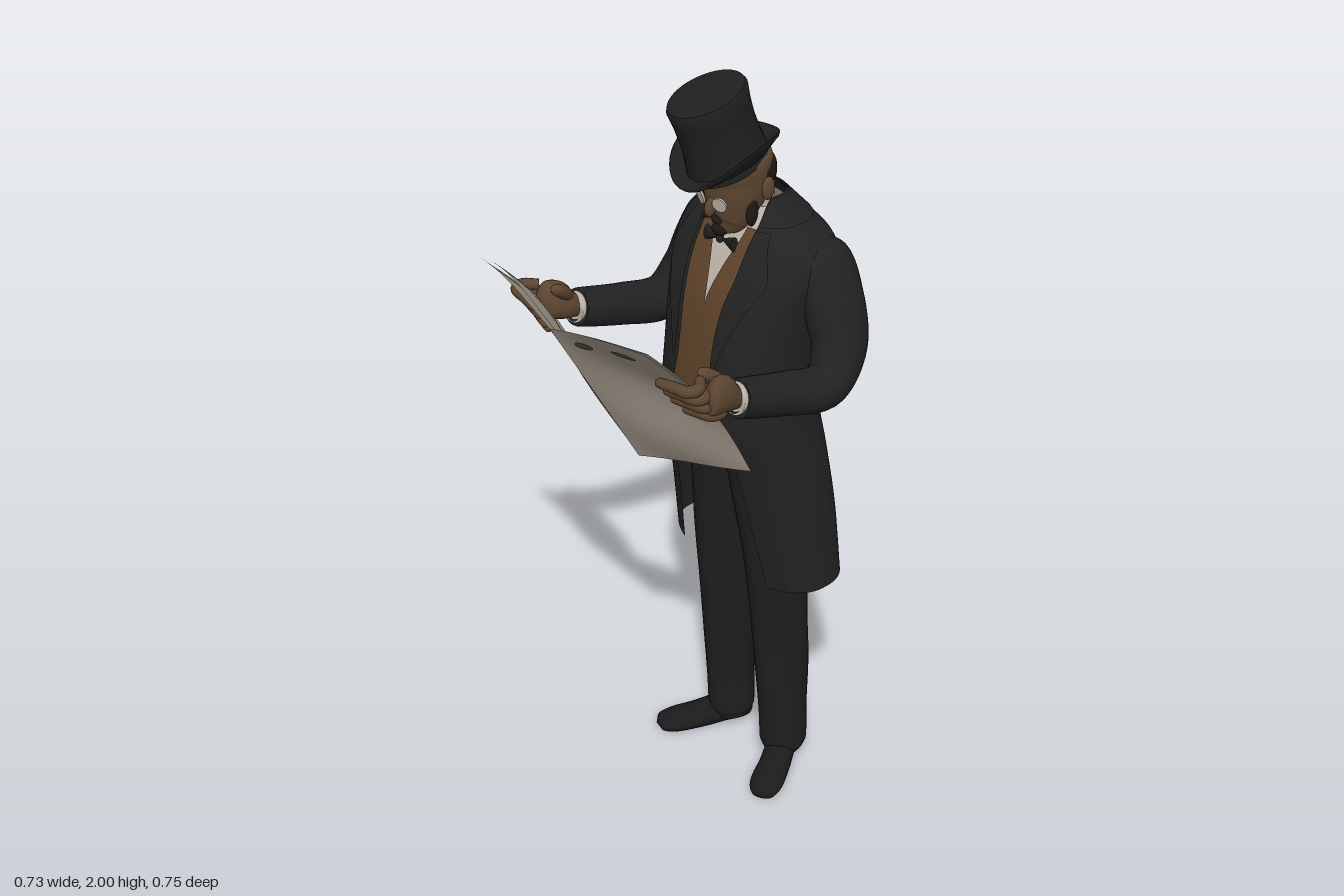
import * as THREE from 'three';
import { toCreasedNormals } from 'three/addons/utils/BufferGeometryUtils.js';
import { ParametricGeometry } from 'three/addons/geometries/ParametricGeometry.js';

const material = (name, color, side = THREE.FrontSide) => {
  const m = new THREE.MeshStandardMaterial({ color, side });
  m.name = name;
  return m;
};
const V = (x, y, z) => new THREE.Vector3(x, y, z);

// Smooth interpolation of one column in a table of rows
const column = (rows, c) => {
  const curve = new THREE.SplineCurve(rows.map((r, i) => new THREE.Vector2(i, r[c])));
  return t => curve.getPoint(t).y;
};

// Tapered limb through [x, y, z, radiusA, radiusB] points; radiusA lies along ref
function limb(points, ref = V(1, 0, 0), around = 20, along = points.length * 5) {
  const path = new THREE.CatmullRomCurve3(points.map(p => V(p[0], p[1], p[2])));
  const ra = column(points, 3), rb = column(points, 4);
  return new ParametricGeometry((u, v, out) => {
    const T = path.getTangent(v), a = u * Math.PI * 2;
    const N = ref.clone().addScaledVector(T, -ref.dot(T)).normalize();
    const B = T.clone().cross(N);
    out.copy(path.getPoint(v))
      .addScaledVector(N, Math.cos(a) * Math.max(ra(v), 0.001))
      .addScaledVector(B, Math.sin(a) * Math.max(rb(v), 0.001));
  }, around, along);
}

// Body profile: y, front z, back z, half width, coat gap, lapel width, waistcoat gap
const BODY = [
  [0.65, -0.10, -0.375, 0.253, 0.155, 0, 0],
  [0.85, -0.065, -0.365, 0.238, 0.13, 0, 0],
  [1.02, -0.03, -0.345, 0.22, 0.115, 0, 0],
  [1.15, 0.0, -0.328, 0.205, 0.09, 0, 0],
  [1.30, -0.005, -0.337, 0.198, 0.06, 0.01, 0],
  [1.45, -0.03, -0.36, 0.21, 0.065, 0.05, 0],
  [1.54, -0.065, -0.362, 0.222, 0.078, 0.075, 0.02],
  [1.61, -0.10, -0.345, 0.198, 0.08, 0.05, 0.045],
  [1.665, -0.13, -0.302, 0.125, 0.08, 0.025, 0.055],
  [1.715, -0.15, -0.258, 0.08, 0.076, 0.004, 0.05],
];
const body = BODY[0].map((_, c) => column(BODY, c));
const POWER = 0.83;
const bend = s => Math.sign(s) * Math.abs(s) ** POWER;

// Piece of the body surface between two profile rows, pushed out by off;
// from and to give the edges as angles measured from the front
function bodyPatch(row0, row1, off, from, to, nu = 56, nv = 40) {
  return new ParametricGeometry((u, v, out) => {
    const t = THREE.MathUtils.lerp(row0, row1, v) / (BODY.length - 1);
    const a = THREE.MathUtils.lerp(from(t), to(t), u);
    const zf = body[1](t), zb = body[2](t);
    out.set(0.017 + (body[3](t) + off) * bend(Math.sin(a)), body[0](t),
      (zf + zb) / 2 + ((zf - zb) / 2 + off) * bend(Math.cos(a)));
  }, nu, nv);
}
const angleAt = (x, t) => Math.asin(Math.min(Math.max(x, 0) / body[3](t), 1) ** (1 / POWER));

// Newspaper surface: u from -1 to 1 across, v from 0 (bottom) to 1 (top)
const PAGE = {
  '-1': [V(-0.34, 1.18, 0.07), V(-0.36, 1.575, 0.35)],
  0: [V(0.005, 1.10, 0.163), V(-0.055, 1.515, 0.377)],
  1: [V(0.31, 1.167, 0.08), V(0.25, 1.575, 0.36)],
};
function paperPoint(u, v, out) {
  const k = Math.abs(u), edge = PAGE[u < 0 ? -1 : 1];
  const mid = PAGE[0][0].clone().lerp(PAGE[0][1], v);
  out.copy(edge[0]).lerp(edge[1], v).lerp(mid, 1 - k);
  const wave = 0.011 * Math.sin(k * Math.PI) * (Math.sin(v * 7 + u) - 0.5);
  const grip = Math.sin(v * Math.PI) * k * k; // pulled back where it is held
  out.x -= Math.sign(u) * 0.012 * grip;
  out.y += 0.012 * Math.sin(k * Math.PI) * v - wave * 0.5;
  out.z += wave - 0.04 * grip;
  return out;
}

export function createModel() {
  const model = new THREE.Group();
  model.name = 'gentlemanReading';
  const D = THREE.DoubleSide;
  const coat = material('coatBlack', 0x222223, D);
  const trousers = material('trouserBlack', 0x1f1f20);
  const felt = material('hatBlack', 0x1f1f20, D);
  const leather = material('shoeBlack', 0x1b1b1b);
  const tweed = material('waistcoatBrown', 0x5f432a, D);
  const linen = material('shirtWhite', 0xbdb4a8, D);
  const skin = material('skinBrown', 0x5d4631);
  const hair = material('hairDark', 0x1e1813);
  const paper = material('paperGrey', 0xa3988b, D);
  const ink = material('inkGrey', 0x544d45, D);

  const add = (name, geometry, mat, parent = model) => {
    const mesh = new THREE.Mesh(geometry, mat);
    mesh.name = name;
    parent.add(mesh);
    return mesh;
  };
  const ball = (name, mat, x, y, z, sx, sy, sz) => {
    const mesh = add(name, new THREE.SphereGeometry(1, 20, 14), mat);
    mesh.position.set(x, y, z);
    mesh.scale.set(sx, sy, sz);
    return mesh;
  };

  // Frock coat, waistcoat and shirt
  const gap = t => angleAt(body[4](t), t);
  const vestGap = t => angleAt(body[6](t), t);
  const full = Math.PI * 2;
  add('coat', bodyPatch(0, 9, 0, gap, t => full - gap(t), 72, 60), coat);
  add('waistcoat', bodyPatch(2.55, 7.6, -0.01, vestGap, t => full - vestGap(t)), tweed);
  add('shirt', bodyPatch(4, 8.4, -0.02, () => 0, () => full), linen);
  const lapel = t => angleAt(body[4](t) + body[5](t), t);
  add('leftLapel', bodyPatch(4, 7.7, 0.009, gap, lapel, 6, 20), coat);
  add('rightLapel', bodyPatch(4, 7.7, 0.009, t => -lapel(t), t => -gap(t), 6, 20), coat);
  add('coatCollar', bodyPatch(7.85, 9, 0.007, gap, t => full - gap(t), 40, 8), coat);

  for (const s of [1, -1]) {
    const side = s > 0 ? 'left' : 'right';

    // Trouser leg
    const X = d => 0.02 + s * d;
    add(side + 'TrouserLeg', limb([
      [X(0.1), 0.03, -0.245, 0.05, 0.055], [X(0.102), 0.06, -0.245, 0.061, 0.066],
      [X(0.102), 0.17, -0.24, 0.06, 0.07], [X(0.1), 0.32, -0.234, 0.062, 0.08],
      [X(0.097), 0.5, -0.22, 0.068, 0.082], [X(0.092), 0.7, -0.208, 0.076, 0.092],
      [X(0.07), 0.95, -0.19, 0.085, 0.108], [X(0.06), 1.08, -0.18, 0.09, 0.115],
      [X(0.06), 1.12, -0.18, 0.01, 0.01]]), trousers);

    // Shoe, turned outwards, with a flattened sole
    const shoe = limb([
      [X(0.088), 0.03, -0.302, 0.001, 0.001], [X(0.09), 0.032, -0.292, 0.032, 0.035],
      [X(0.108), 0.04, -0.24, 0.038, 0.045], [X(0.15), 0.024, -0.165, 0.043, 0.034],
      [X(0.182), 0.018, -0.105, 0.045, 0.026], [X(0.204), 0.014, -0.07, 0.03, 0.018],
      [X(0.21), 0.012, -0.06, 0.001, 0.001]]);
    const sp = shoe.attributes.position;
    for (let i = 0; i < sp.count; i++) sp.setY(i, Math.max(sp.getY(i), 0));
    shoe.computeVertexNormals();
    add(side + 'Shoe', shoe, leather);

    // Sleeve from shoulder through bent elbow to wrist
    const A = d => 0.015 + s * d, wx = s > 0 ? 0.272 : -0.302;
    add(side + 'Sleeve', limb([
      [A(0.13), 1.61, -0.245, 0.02, 0.03], [A(0.175), 1.568, -0.248, 0.058, 0.08],
      [A(0.222), 1.48, -0.25, 0.064, 0.084], [A(0.265), 1.37, -0.235, 0.063, 0.075],
      [A(0.288), 1.302, -0.168, 0.056, 0.06], [(A(0.288) + wx) / 2, 1.322, -0.04, 0.05, 0.054],
      [wx, 1.358, 0.095, 0.047, 0.047], [wx, 1.359, 0.098, 0.03, 0.03]], undefined, 24, 60), coat);
    add(side + 'Cuff', limb([[wx, 1.357, 0.085, 0.039, 0.039], [wx, 1.362, 0.105, 0.039, 0.039],
      [wx, 1.362, 0.106, 0.02, 0.02]]), linen);

    // Hand gripping the edge of the paper
    add(side + 'Palm', limb([
      [wx, 1.36, 0.09, 0.026, 0.026], [wx + s * 0.002, 1.378, 0.125, 0.033, 0.038],
      [wx + s * 0.01, 1.4, 0.16, 0.032, 0.05], [wx + s * 0.02, 1.408, 0.19, 0.02, 0.042],
      [wx + s * 0.022, 1.41, 0.202, 0.001, 0.001]]), skin);
    add(side + 'Thumb', limb([
      [wx, 1.395, 0.115, 0.016, 0.016], [wx - s * 0.02, 1.43, 0.15, 0.017, 0.017],
      [wx - s * 0.026, 1.45, 0.18, 0.014, 0.014], [wx - s * 0.026, 1.453, 0.195, 0.001, 0.001]]), skin);
    for (let i = 0; i < 4; i++) {
      const v = 0.46 + i * 0.068, tip = i === 0 ? 0.8 : 0.75;
      const at = (u, dx, dz, r) => [...paperPoint(s * u, v, V(0, 0, 0)).add(V(s * dx, 0, dz)), r, r];
      add(side + 'Finger' + (i + 1), limb([
        at(1, -0.008, -0.04, 0.013), at(1, 0.018, -0.01, 0.015), at(1, 0.01, 0.016, 0.015),
        at(0.9, 0, 0.017, 0.014), at(tip, 0, 0.015, 0.011), at(tip - 0.03, 0, 0.013, 0.001),
      ], V(0, 1, 0), 10, 20), skin);
    }

    // Ear, sideburn, spectacle lens, moustache and bow tie halves
    ball(side + 'Ear', skin, 0.005 + s * 0.079, 1.735, -0.18, 0.01, 0.03, 0.019);
    ball(side + 'Sideburn', hair, 0.005 + s * 0.064, 1.685, -0.142, 0.012, 0.042, 0.018);
    const lens = add(side + 'Lens', new THREE.CylinderGeometry(0.019, 0.019, 0.005, 18), linen);
    lens.position.set(0.005 + s * 0.032, 1.712, -0.068);
    lens.rotation.set(Math.PI / 2 + 0.2, 0, -s * 0.3);
    ball(side + 'Moustache', hair, 0.005 + s * 0.015, 1.668, -0.072, 0.019, 0.007, 0.009).rotation.z = -s * 0.35;
    const bow = add(side + 'Bow', new THREE.ConeGeometry(0.02, 0.046, 12), felt);
    bow.position.set(0.01 + s * 0.024, 1.604, -0.098);
    bow.rotation.z = s * Math.PI / 2;
    bow.scale.z = 0.6;
  }
  ball('bowKnot', felt, 0.01, 1.604, -0.096, 0.01, 0.011, 0.01);

  // Head, neck and shirt collar
  add('neck', limb([[0.01, 1.56, -0.21, 0.054, 0.054], [0.008, 1.64, -0.195, 0.054, 0.056],
    [0.005, 1.72, -0.18, 0.054, 0.056]]), skin);
  add('head', limb([
    [0.005, 1.612, -0.118, 0.001, 0.001], [0.005, 1.62, -0.118, 0.03, 0.025],
    [0.005, 1.645, -0.13, 0.054, 0.052], [0.005, 1.69, -0.145, 0.069, 0.075],
    [0.005, 1.75, -0.155, 0.077, 0.088], [0.005, 1.81, -0.15, 0.07, 0.085],
    [0.005, 1.84, -0.15, 0.001, 0.001]], undefined, 28), skin);
  ball('hair', hair, 0.005, 1.762, -0.182, 0.076, 0.066, 0.074);
  ball('nose', skin, 0.005, 1.695, -0.07, 0.013, 0.025, 0.017).rotation.x = -0.3;
  ball('chinBeard', hair, 0.005, 1.627, -0.1, 0.022, 0.017, 0.018);
  add('shirtCollar', limb([[0.01, 1.61, -0.19, 0.069, 0.072], [0.008, 1.655, -0.188, 0.066, 0.067],
    [0.006, 1.7, -0.192, 0.064, 0.06]]), linen);

  // Top hat with a curled brim
  const hat = new THREE.Group();
  hat.name = 'topHat';
  const profile = pts => pts.map(p => new THREE.Vector2(...p));
  add('crown', toCreasedNormals(new THREE.LatheGeometry(profile([[0.088, -0.02], [0.085, 0.03],
    [0.083, 0.08], [0.085, 0.13], [0.089, 0.165], [0.085, 0.175], [0, 0.18]]), 40), 0.7), felt, hat);
  add('hatBand', new THREE.CylinderGeometry(0.0865, 0.0895, 0.035, 40, 1, true), felt, hat).position.y = 0.015;
  const brim = new THREE.LatheGeometry(profile([[0.08, -0.006], [0.1, -0.008], [0.118, -0.004],
    [0.122, 0.002], [0.118, 0.006], [0.1, 0.003], [0.08, 0.004]]), 48);
  const bp = brim.attributes.position;
  for (let i = 0; i < bp.count; i++) {
    const x = bp.getX(i), r = Math.hypot(x, bp.getZ(i));
    bp.setY(i, bp.getY(i) + 0.05 * (x / r) ** 2 * Math.max(0, (r - 0.08) / 0.042) - 0.004);
  }
  brim.computeVertexNormals();
  add('brim', brim, felt, hat);
  hat.position.set(-0.008, 1.8, -0.132);
  hat.rotation.set(0.28, 0, 0.12);
  hat.scale.z = 1.18;
  model.add(hat);

  // Newspaper: an outer and a slightly smaller inner sheet, folded in the middle
  const news = new THREE.Group();
  news.name = 'newspaper';
  for (const s of [-1, 1]) {
    for (const [name, size, back] of [['OuterPage', 1, 0], ['InnerPage', 0.96, 0.007]]) {
      add((s > 0 ? 'left' : 'right') + name, new ParametricGeometry((u, v, out) => {
        paperPoint((s > 0 ? u : u - 1) * size, v * size, out);
        out.y += back * 0.7;
        out.z -= back;
      }, 20, 24), paper, news);
    }
  }
  // Printed pictures on the outer page
  for (const [u, v, w, h] of [[0.27, 0.9, 0.09, 0.032], [0.68, 0.9, 0.12, 0.03]]) {
    const spot = new THREE.CircleGeometry(1, 20), p = spot.attributes.position, q = V(0, 0, 0);
    for (let i = 0; i < p.count; i++) {
      paperPoint(u + p.getX(i) * w, v + p.getY(i) * h, q);
      p.setXYZ(i, q.x, q.y - 0.003, q.z + 0.004);
    }
    spot.computeVertexNormals();
    add('printedPicture', spot, ink, news);
  }
  model.add(news);
  return model;
}
